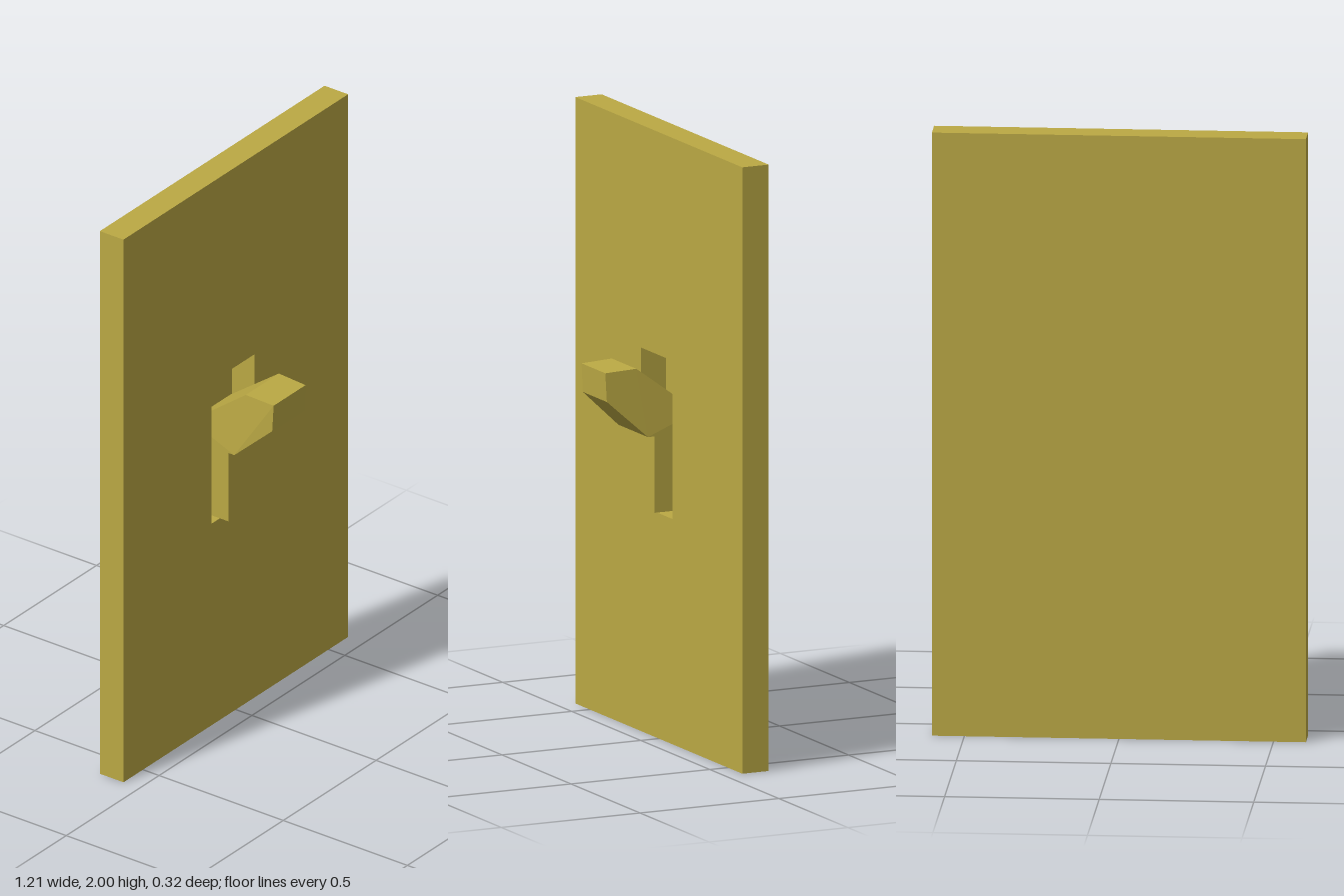
import * as THREE from 'three';
import { ConvexGeometry } from 'three/addons/geometries/ConvexGeometry.js';

const FRONT = -0.065, BACK = -0.16, FLOOR = -0.156;
const CX = -0.015; // the switch sits slightly off centre

export function createModel() {
  const group = new THREE.Group();
  const material = new THREE.MeshStandardMaterial({ color: 0xbba944, flatShading: true });
  const add = (name, geometry, x = 0, y = 0, z = 0) => {
    const mesh = new THREE.Mesh(geometry, material);
    mesh.name = name;
    mesh.position.set(x, y, z);
    group.add(mesh);
  };
  const rect = (path, x0, y0, x1, y1) =>
    path.moveTo(x0, y0).lineTo(x1, y0).lineTo(x1, y1).lineTo(x0, y1).closePath();

  // Wall plate with a rectangular slot
  const plate = rect(new THREE.Shape(), -0.605, 0, 0.605, 2);
  plate.holes.push(rect(new THREE.Path(), -0.13, 0.743, 0.1, 1.265));
  add('wallPlate', new THREE.ExtrudeGeometry(plate, { depth: FRONT - BACK, bevelEnabled: false }), 0, 0, BACK);

  // Thin floor that closes the slot at the back
  add('slotFloor', new THREE.BoxGeometry(0.23, 0.522, FLOOR - BACK), CX, 1.004, (FLOOR + BACK) / 2);

  // Lower block of the switch
  const depth = -0.004 - FLOOR;
  add('switchBase', new THREE.BoxGeometry(0.214, 0.252, depth), CX, 0.894, FLOOR + depth / 2);

  // Tapered toggle: side profile as [z, y, half width]
  const profile = [
    [FLOOR, 1.02, 0.107], [0.02, 1.02, 0.107], [0.158, 1.145, 0.087],
    [0.163, 1.24, 0.086], [0.053, 1.245, 0.089], [FLOOR, 1.09, 0.107],
  ];
  const corners = profile.flatMap(([z, y, w]) => [-w, w].map((x) => new THREE.Vector3(x, y, z)));
  add('toggleLever', new ConvexGeometry(corners), CX);

  return group;
}
